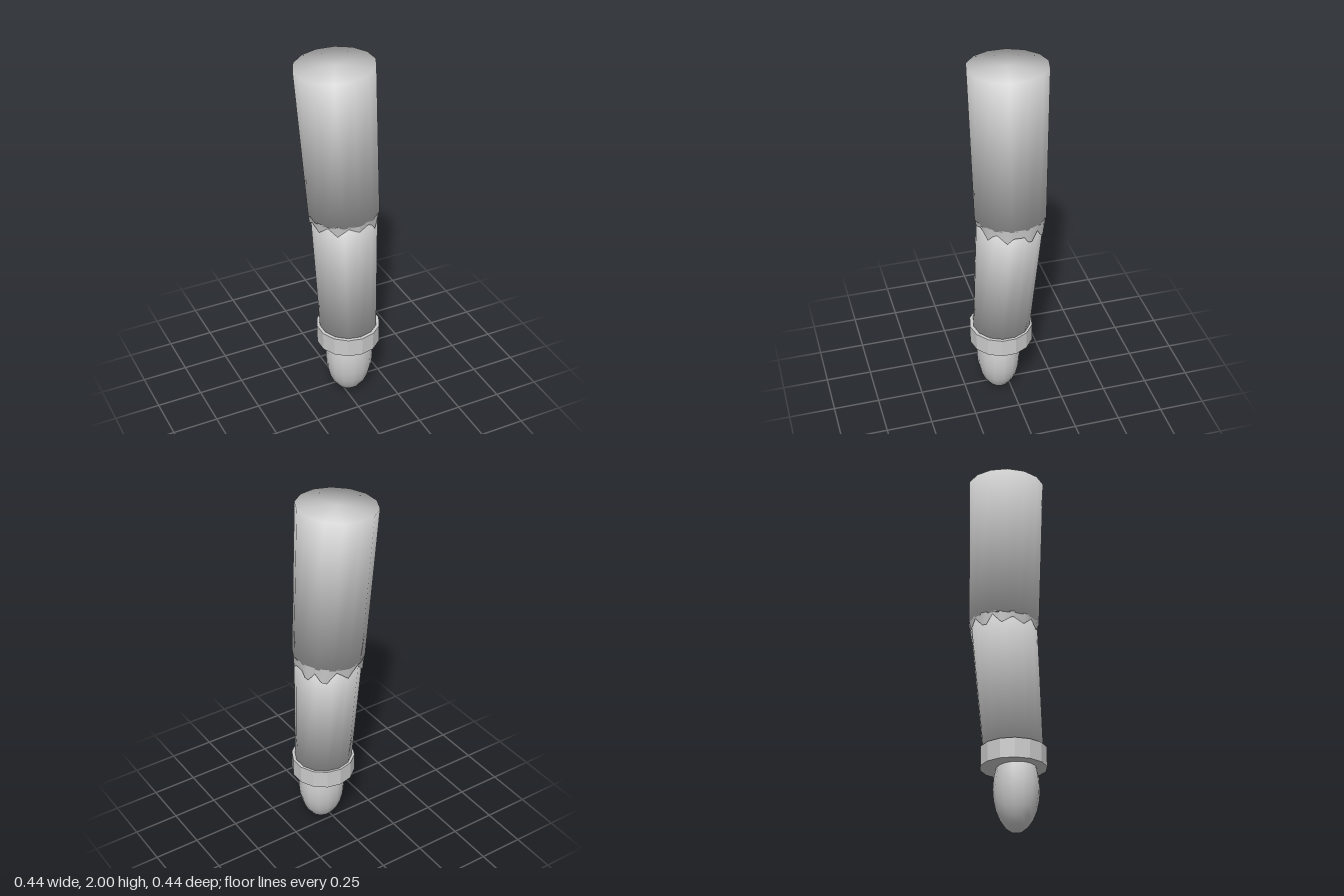
import * as THREE from 'three';

const SIDES = 14;
const V = (x, y, z) => new THREE.Vector3(x, y, z);

// Tapered limb between two points, with normals rounded over the end rims
function limb(name, top, bottom, rTop, rBottom, material) {
  const axis = top.clone().sub(bottom);
  const geo = new THREE.CylinderGeometry(rTop, rBottom, axis.length(), SIDES);
  const pos = geo.attributes.position;
  const n = new THREE.Vector3();
  for (let i = 0; i < pos.count; i++) {
    n.set(pos.getX(i), 0, pos.getZ(i)).normalize();
    n.y = 0.85 * Math.sign(pos.getY(i));
    n.normalize();
    geo.attributes.normal.setXYZ(i, n.x, n.y, n.z);
  }
  const mesh = new THREE.Mesh(geo, material);
  mesh.name = name;
  mesh.position.copy(top).add(bottom).multiplyScalar(0.5);
  mesh.quaternion.setFromUnitVectors(V(0, 1, 0), axis.normalize());
  return mesh;
}

// Ragged hem: an open ring whose lower edge runs through teeth [degrees, height]
function raggedHem(center, material) {
  const teeth = [
    [0, 1.108], [18, 1.135], [26, 1.12], [36, 1.082], [45, 1.115], [53, 1.13],
    [70, 1.083], [80, 1.115], [98, 1.115], [105, 1.08], [112, 1.075], [124, 1.125],
    [135, 1.075], [143, 1.07], [160, 1.135], [180, 1.085], [200, 1.135],
    [217, 1.08], [225, 1.075], [236, 1.13], [251, 1.08], [270, 1.115],
    [290, 1.085], [307, 1.13], [324, 1.088], [342, 1.135], [360, 1.108],
  ];
  const points = [];
  const index = [];
  teeth.forEach(([deg, y], i) => {
    const a = THREE.MathUtils.degToRad(deg);
    const s = Math.sin(a), c = Math.cos(a);
    const yTop = 1.155 + 0.062 * 0.19 * s;
    points.push(center.x + 0.19 * s, yTop, center.z + 0.19 * c);
    points.push(center.x + 0.184 * s, y, center.z + 0.184 * c);
    if (i > 0) {
      const k = 2 * i;
      index.push(k - 2, k - 1, k, k, k - 1, k + 1);
    }
  });
  const geo = new THREE.BufferGeometry();
  geo.setAttribute('position', new THREE.Float32BufferAttribute(points, 3));
  geo.setIndex(index);
  geo.computeVertexNormals();
  const mesh = new THREE.Mesh(geo, material);
  mesh.name = 'raggedHem';
  return mesh;
}

export function createModel() {
  const group = new THREE.Group();
  group.name = 'arm';
  const grey = new THREE.MeshStandardMaterial({ color: 0xcccccc });
  grey.name = 'light grey';
  const greyFlat = new THREE.MeshStandardMaterial({ color: 0xcccccc, flatShading: true });
  greyFlat.name = 'light grey faceted';
  const greyOpen = new THREE.MeshStandardMaterial({ color: 0xcccccc, side: THREE.DoubleSide });
  greyOpen.name = 'light grey cloth';

  // Upper sleeve and forearm
  const elbow = V(0.032, 1.148, -0.008);
  group.add(limb('upperSleeve', V(-0.02, 1.987, -0.01), elbow, 0.21, 0.192, grey));
  group.add(limb('forearm', elbow.clone().setY(1.16), V(0.035, 0.43, 0.043), 0.181, 0.158, grey));
  group.add(raggedHem(elbow, greyOpen));

  // Faceted cuff at the wrist
  const cuff = new THREE.Mesh(new THREE.CylinderGeometry(0.175, 0.175, 0.105, SIDES), greyFlat);
  cuff.name = 'cuff';
  cuff.position.set(0.034, 0.393, 0.045);
  group.add(cuff);

  // Rounded hand
  const hand = new THREE.Mesh(new THREE.SphereGeometry(1, SIDES, 12), grey);
  hand.name = 'hand';
  hand.scale.set(0.133, 0.228, 0.12);
  hand.position.set(0.034, 0.23, 0.06);
  group.add(hand);

  return group;
}
